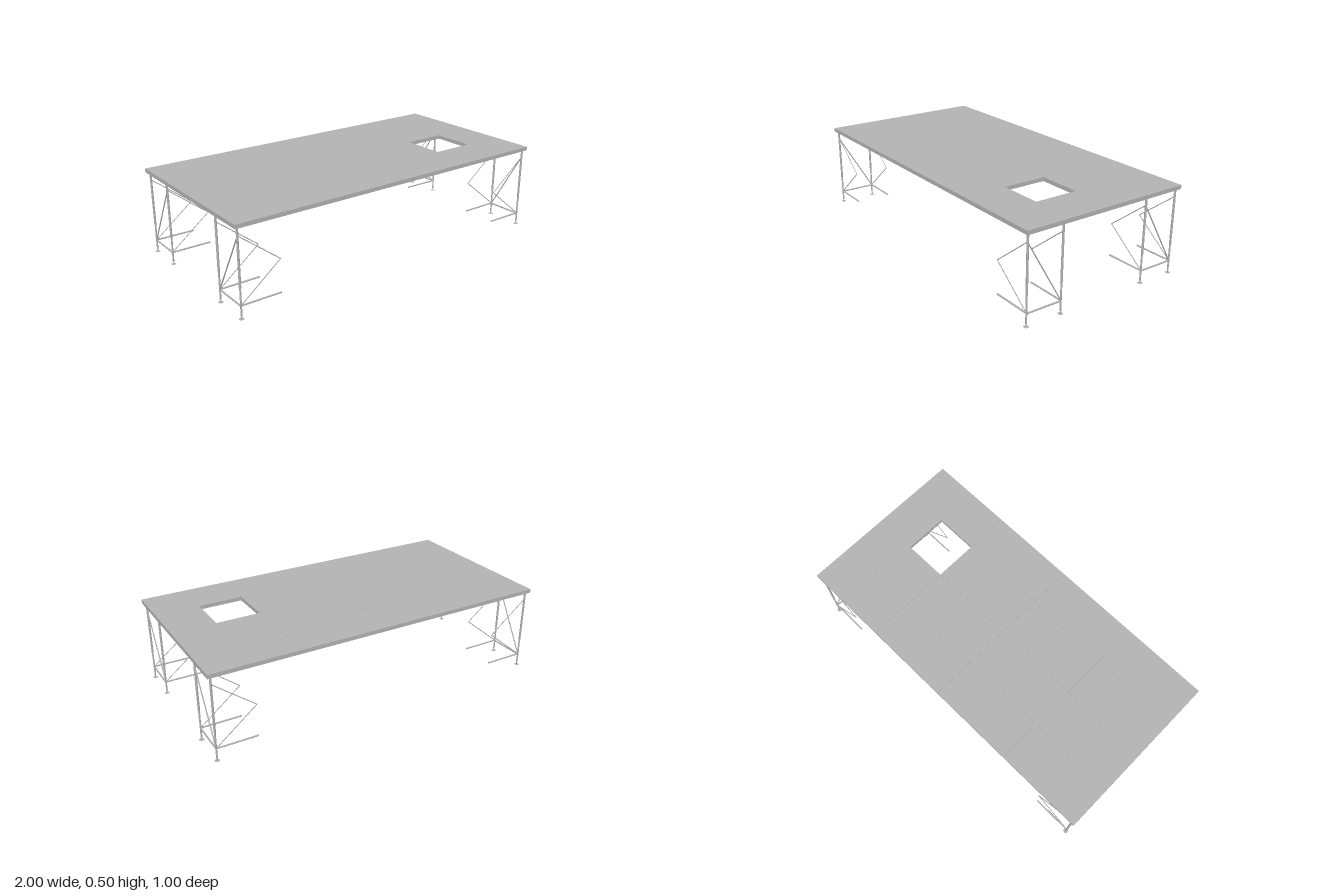
import * as THREE from 'three';

const steel = new THREE.MeshStandardMaterial({ color: 0xb2b2b2 });
steel.name = 'grey steel';
const plate = steel.clone();
plate.name = 'grey foot plate';
plate.side = THREE.DoubleSide;

const TOP = 0.5, BOTTOM = 0.478;

function add(group, name, geometry, x = 0, y = 0, z = 0, material = steel) {
  const mesh = new THREE.Mesh(geometry, material);
  mesh.name = name;
  mesh.position.set(x, y, z);
  group.add(mesh);
  return mesh;
}

// Round bar between two points
function bar(group, name, a, b, radius, sides = 10) {
  const from = new THREE.Vector3(...a), to = new THREE.Vector3(...b);
  const dir = to.clone().sub(from);
  const mesh = add(group, name, new THREE.CylinderGeometry(radius, radius, dir.length(), sides));
  mesh.position.copy(from).add(to).multiplyScalar(0.5);
  mesh.quaternion.setFromUnitVectors(new THREE.Vector3(0, 1, 0), dir.normalize());
  return mesh;
}

// Frame with a chamfered opening that forms corner gussets
function frameGeometry(w, d, height) {
  const shape = new THREE.Shape([
    [-w / 2, -d / 2], [w / 2, -d / 2], [w / 2, d / 2], [-w / 2, d / 2],
  ].map(p => new THREE.Vector2(...p)));
  const a = w / 2 - 0.012, b = d / 2 - 0.012, c = 0.038;
  shape.holes.push(new THREE.Path([
    [-a + c, -b], [-a, -b + c], [-a, b - c], [-a + c, b],
    [a - c, b], [a, b - c], [a, -b + c], [a - c, -b],
  ].map(p => new THREE.Vector2(...p))));
  const geometry = new THREE.ExtrudeGeometry(shape, { depth: height, bevelEnabled: false });
  geometry.rotateX(-Math.PI / 2);
  return geometry;
}

// Deck panel: top board, edge frame, ribs and corner pads
function deckPanel(width, depth, ribs) {
  const panel = new THREE.Group();
  panel.name = 'deckPanel';
  const w = width - 0.001, d = depth - 0.001;
  add(panel, 'deckBoard', new THREE.BoxGeometry(w, 0.008, d), 0, TOP - 0.004, 0);
  add(panel, 'edgeFrame', frameGeometry(w, d, 0.014), 0, BOTTOM, 0);
  for (let i = 1; i <= ribs; i++) {
    add(panel, 'rib', new THREE.BoxGeometry(0.008, 0.01, d - 0.024),
      -width / 2 + (width * i) / (ribs + 1), 0.487, 0);
  }
  for (const sx of [-1, 1]) for (const sz of [-1, 1]) {
    add(panel, 'cornerPad', new THREE.BoxGeometry(0.024, 0.003, 0.022),
      sx * (width / 2 - 0.027), BOTTOM - 0.0015, sz * (depth / 2 - 0.024));
  }
  return panel;
}

// Leg with sleeve, inner tube, spindle, foot plate and side braces
function leg(x, z) {
  const group = new THREE.Group();
  group.name = 'leg';
  const inner = Math.sign(x) * 0.75;
  bar(group, 'legSleeve', [x, 0.165, z], [x, BOTTOM + 0.004, z], 0.006, 12);
  bar(group, 'legTube', [x, 0.015, z], [x, 0.17, z], 0.0046, 12);
  bar(group, 'footSpindle', [x, 0, z], [x, 0.016, z], 0.0025, 8);
  const foot = add(group, 'footPlate', new THREE.CircleGeometry(0.014, 16), x, 0.0005, z, plate);
  foot.rotation.x = -Math.PI / 2;
  bar(group, 'upperBrace', [x, 0.435, z], [inner, 0.255, z], 0.0024, 8);
  bar(group, 'lowerBrace', [inner, 0.255, z], [x, 0.072, z], 0.0024, 8);
  bar(group, 'baseRail', [x, 0.072, z], [inner, 0.072, z], 0.0045);
  return group;
}

export function createModel() {
  const model = new THREE.Group();
  model.name = 'stagePlatform';

  // Deck grid, with a half panel that leaves a square opening
  const deck = new THREE.Group();
  deck.name = 'deck';
  for (let col = 0; col < 4; col++) {
    for (let row = 0; row < 4; row++) {
      const half = col === 3 && row === 2;
      const panel = deckPanel(half ? 0.25 : 0.5, 0.25, half ? 1 : 4);
      panel.position.set(half ? 0.875 : -0.75 + col * 0.5, 0, -0.375 + row * 0.25);
      deck.add(panel);
    }
  }
  model.add(deck);

  // Four leg frames, one under each corner panel
  for (const x of [-0.979, 0.979]) {
    for (const [zBack, zFront] of [[-0.48, -0.27], [0.272, 0.481]]) {
      const frame = new THREE.Group();
      frame.name = 'legFrame';
      frame.add(leg(x, zBack), leg(x, zFront));
      bar(frame, 'crossRail', [x, 0.07, zBack], [x, 0.07, zFront], 0.0045);
      bar(frame, 'diagonalBrace', [x, 0.072, zBack], [x, 0.432, zFront], 0.0033, 8);
      model.add(frame);
    }
  }
  return model;
}
